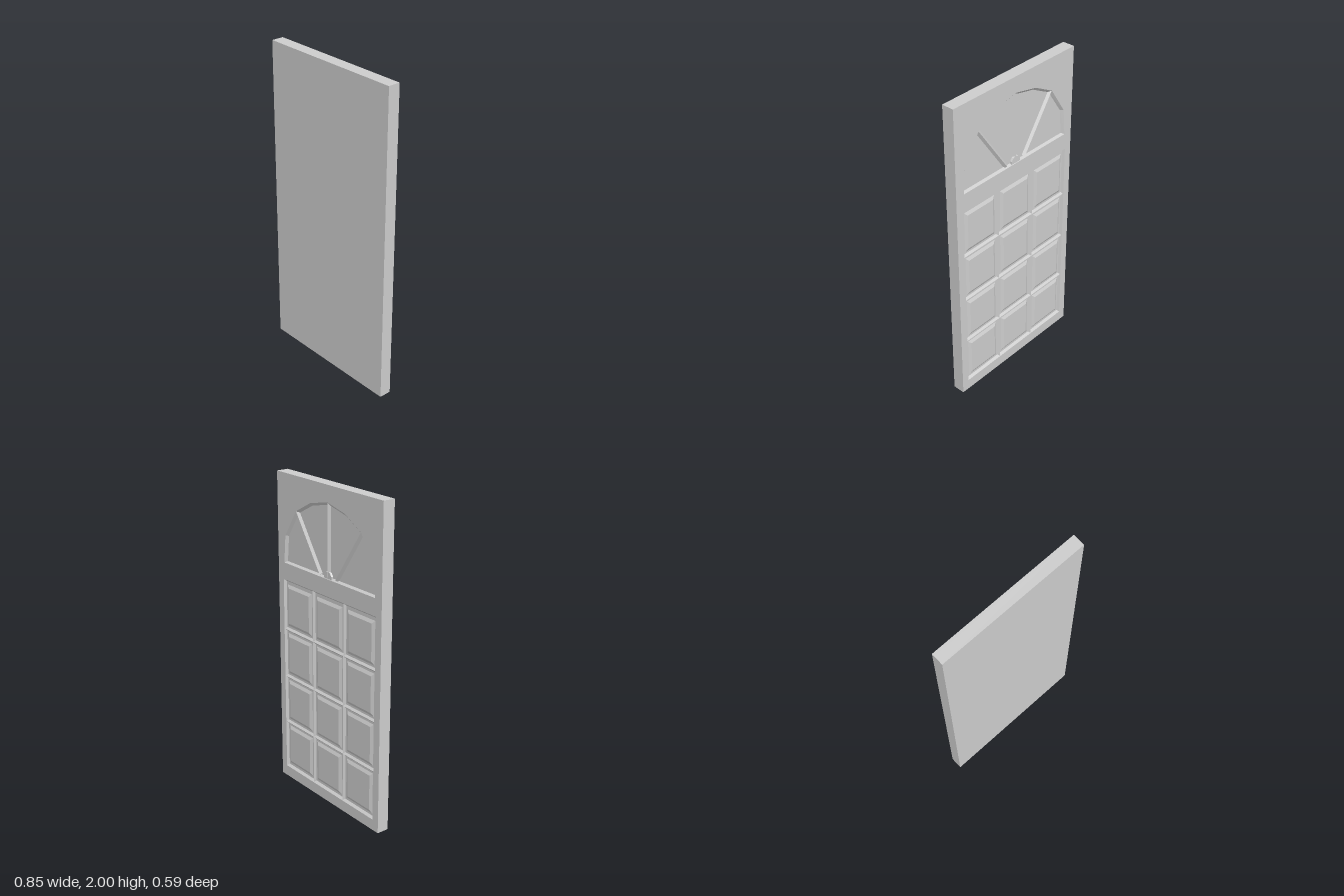
import * as THREE from 'three';

const W = 0.967, H = 2, T = 0.077; // slab size
const D = 0.015; // recess depth
const FACE = T / 2, FLOOR = T / 2 - D;
const material = new THREE.MeshStandardMaterial({ color: 0xcccccc, flatShading: true });

const rect = (cx, cy, w, h) =>
  [[-1, -1], [1, -1], [1, 1], [-1, 1]].map(([a, b]) => new THREE.Vector2(cx + a * w / 2, cy + b * h / 2));

function add(group, name, geometry) {
  const mesh = new THREE.Mesh(geometry, material);
  mesh.name = name;
  group.add(mesh);
  return mesh;
}

// Sloped strip between two counter-clockwise outlines, facing +z
function bevel(outer, inner, z0, z1) {
  const pos = [];
  outer.forEach((a, i) => {
    const j = (i + 1) % outer.length, b = outer[j], c = inner[j], d = inner[i];
    pos.push(a.x, a.y, z0, b.x, b.y, z0, c.x, c.y, z1, a.x, a.y, z0, c.x, c.y, z1, d.x, d.y, z1);
  });
  const g = new THREE.BufferGeometry();
  g.setAttribute('position', new THREE.Float32BufferAttribute(pos, 3));
  g.computeVertexNormals();
  return g;
}

// Diamond-section glazing bar, half sunk in the recess floor
function bar(group, name, x0, y0, x1, y1, r) {
  const g = new THREE.CylinderGeometry(r, r, Math.hypot(x1 - x0, y1 - y0), 4);
  const mesh = add(group, name, g);
  mesh.position.set((x0 + x1) / 2, (y0 + y1) / 2, FLOOR);
  mesh.rotation.z = -Math.atan2(x1 - x0, y1 - y0);
}

export function createModel() {
  const root = new THREE.Group();
  root.name = 'door';
  const door = new THREE.Group();
  door.name = 'doorLeaf';
  door.rotation.y = Math.PI - 0.5717; // leaf stands ajar, panelled side to the back right
  root.add(door);

  // Recess outlines: panel field and arched fan
  const field = rect(0, 0.707, 0.87, 1.275);
  const fieldInner = rect(0, 0.707, 0.85, 1.25);
  const right = [[0.425, 1.45], [0.41, 1.62], [0.3, 1.79], [0.16, 1.865]];
  const fan = [...right, [0, 1.9], ...right.slice().reverse().map(([x, y]) => [-x, y])]
    .map(([x, y]) => new THREE.Vector2(x, y));
  const fanInner = fan.map(p => new THREE.Vector2(p.x * 0.96, 1.62 + (p.y - 1.62) * 0.94));

  // Slab core and pierced face plate
  add(door, 'slab', new THREE.BoxGeometry(W, H, T - D)).position.set(0, H / 2, -D / 2);
  const plate = new THREE.Shape(rect(0, H / 2, W, H));
  plate.holes.push(new THREE.Path(field), new THREE.Path(fan));
  add(door, 'facePlate', new THREE.ExtrudeGeometry(plate, { depth: D, bevelEnabled: false })).position.z = FLOOR;
  add(door, 'panelFieldBevel', bevel(field, fieldInner, FACE, FLOOR));
  add(door, 'fanBevel', bevel(fan, fanInner, FACE, FLOOR));

  // Raised panels
  for (let row = 0; row < 4; row++) {
    for (let col = -1; col <= 1; col++) {
      const x = col * 0.292, y = 0.23 + row * 0.316;
      const top = rect(x, y, 0.205, 0.228), z = FLOOR + 0.01;
      const panel = new THREE.Group();
      panel.name = 'panel';
      add(panel, 'panelBevel', bevel(rect(x, y, 0.244, 0.267), top, FLOOR, z));
      add(panel, 'panelTop', new THREE.ShapeGeometry(new THREE.Shape(top))).position.z = z;
      door.add(panel);
    }
  }

  // Bars between the panels
  for (const x of [-0.146, 0.146]) bar(door, 'verticalBar', x, 0.07, x, 1.344, 0.012);
  for (const y of [0.388, 0.704, 1.02]) bar(door, 'horizontalBar', -0.435, y, 0.435, y, 0.012);

  // Fan bars and hub
  bar(door, 'fanBar', 0, 1.46, 0, 1.9, 0.014);
  for (const s of [-1, 1]) bar(door, 'fanBar', s * 0.075, 1.46, s * 0.3, 1.79, 0.014);
  const hub = add(door, 'fanHub', new THREE.CylinderGeometry(0.035, 0.04, 0.024, 10));
  hub.rotation.x = Math.PI / 2;
  hub.position.set(0, 1.46, FLOOR);

  return root;
}
